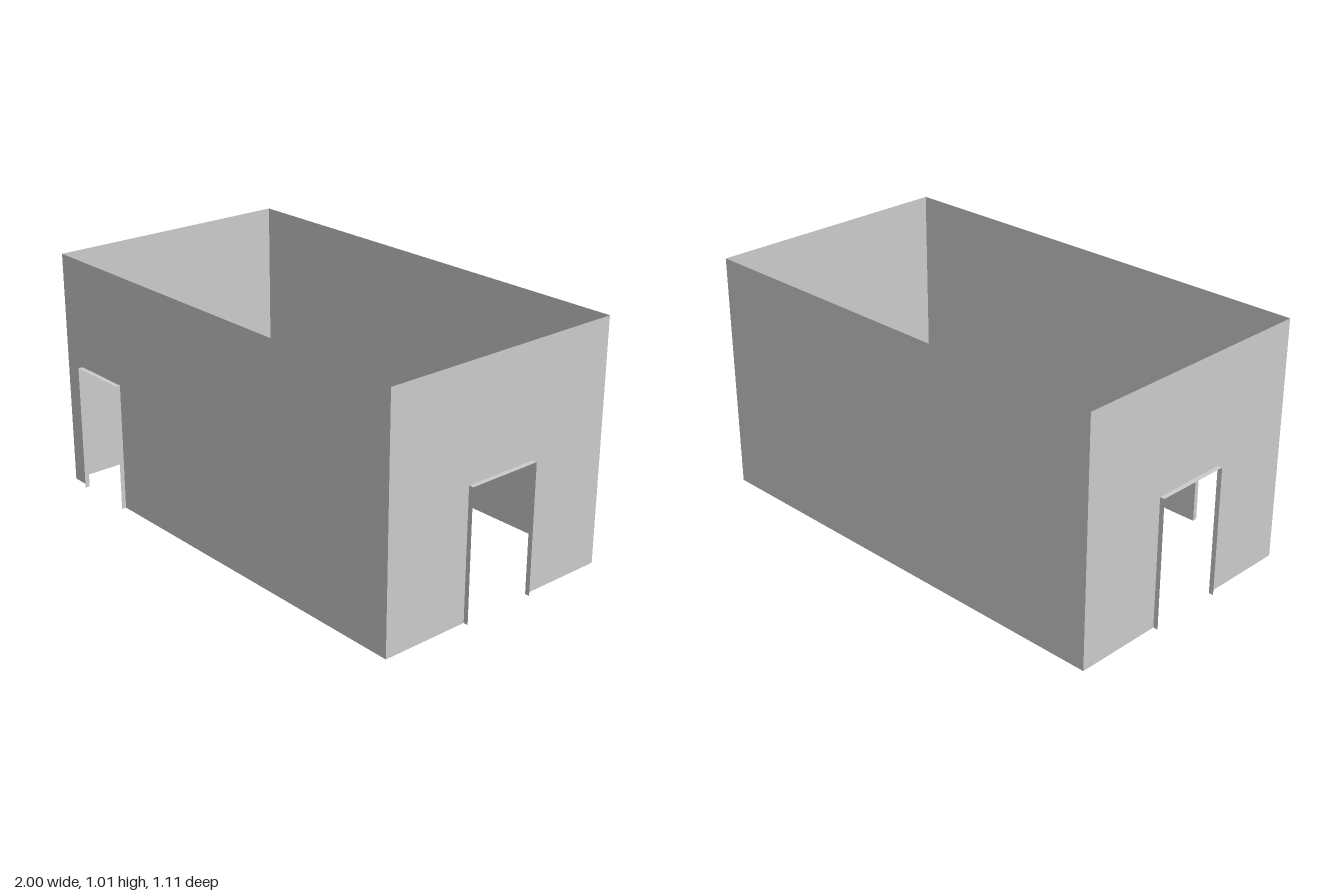
import * as THREE from 'three';

const HALF_X = 0.98, FRONT = 0.535, BACK = -0.553, HEIGHT = 1.01;
const DOOR_HEIGHT = 0.545, REVEAL = 0.02;

const material = new THREE.MeshStandardMaterial({
  color: 0xcccccc, side: THREE.DoubleSide, flatShading: true,
});

function polygon(points) {
  return new THREE.ShapeGeometry(new THREE.Shape(points.map(p => new THREE.Vector2(...p))));
}

// Thin wall in the XY plane facing +z, with an optional doorway [from, to]
function makeWall(name, a, b, door) {
  const group = new THREE.Group();
  group.name = name;
  const gap = door
    ? [[door[0], 0], [door[0], DOOR_HEIGHT], [door[1], DOOR_HEIGHT], [door[1], 0]]
    : [];
  const panel = new THREE.Mesh(polygon([[a, 0], ...gap, [b, 0], [b, HEIGHT], [a, HEIGHT]]), material);
  panel.name = name + 'Panel';
  group.add(panel);

  if (door) {
    // Jambs and header projecting outwards around the doorway
    door.forEach((x, i) => {
      const jamb = new THREE.Mesh(new THREE.PlaneGeometry(REVEAL, DOOR_HEIGHT), material);
      jamb.name = i ? 'doorJambB' : 'doorJambA';
      jamb.rotation.y = i ? -Math.PI / 2 : Math.PI / 2;
      jamb.position.set(x, DOOR_HEIGHT / 2, REVEAL / 2);
      group.add(jamb);
    });
    const header = new THREE.Mesh(new THREE.PlaneGeometry(door[1] - door[0], REVEAL), material);
    header.name = 'doorHeader';
    header.rotation.x = Math.PI / 2;
    header.position.set((door[0] + door[1]) / 2, DOOR_HEIGHT, REVEAL / 2);
    group.add(header);
  }
  return group;
}

export function createModel() {
  const room = new THREE.Group();
  room.name = 'room';

  // Long walls
  const front = makeWall('frontWall', -HALF_X, HALF_X, [-0.875, -0.6]);
  front.position.z = FRONT;
  const back = makeWall('backWall', -HALF_X, HALF_X);
  back.rotation.y = Math.PI;
  back.position.z = BACK;

  // End walls with facing doorways
  const left = makeWall('leftWall', -FRONT, -BACK, [-0.153, 0.173]);
  left.rotation.y = Math.PI / 2;
  left.position.x = HALF_X;
  const right = makeWall('rightWall', BACK, FRONT, [-0.173, 0.153]);
  right.rotation.y = -Math.PI / 2;
  right.position.x = -HALF_X;

  room.add(front, back, left, right);
  return room;
}
